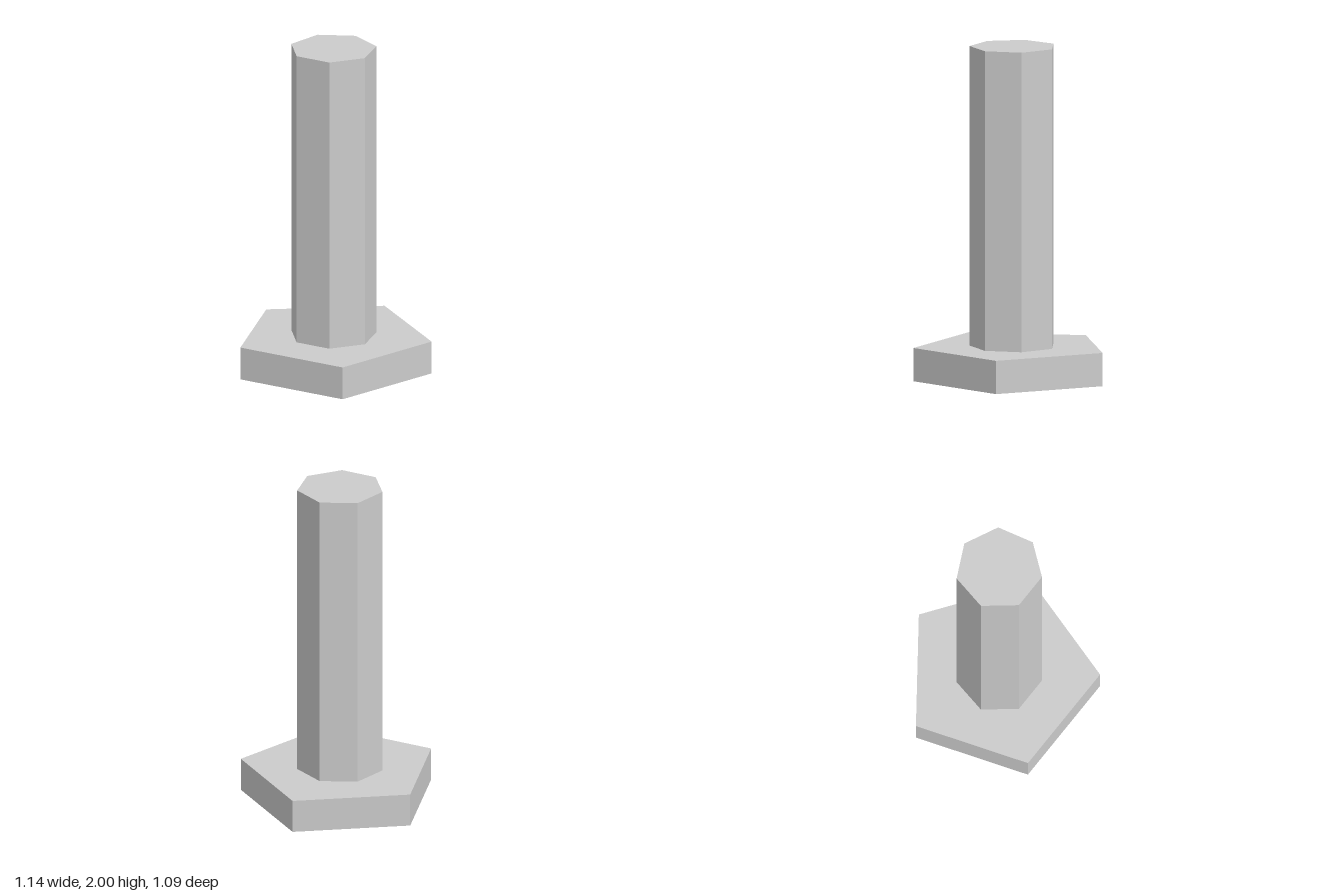
import * as THREE from 'three';

const material = new THREE.MeshStandardMaterial({ color: 0xcccccc, flatShading: true });
const AXIS_Z = 0.057; // shared axis of both prisms

// Upright regular prism with one corner pointing straight back
function prism(name, radius, sides, bottom, top) {
  const geometry = new THREE.CylinderGeometry(radius, radius, top - bottom, sides, 1, false, Math.PI);
  const mesh = new THREE.Mesh(geometry, material);
  mesh.name = name;
  mesh.position.set(0, (bottom + top) / 2, AXIS_Z);
  return mesh;
}

export function createModel() {
  const group = new THREE.Group();
  group.name = 'pedestalPost';
  group.add(
    prism('pentagonalBase', 0.6, 5, 0, 0.2),
    prism('heptagonalColumn', 0.26, 7, 0.2, 2),
  );
  return group;
}
